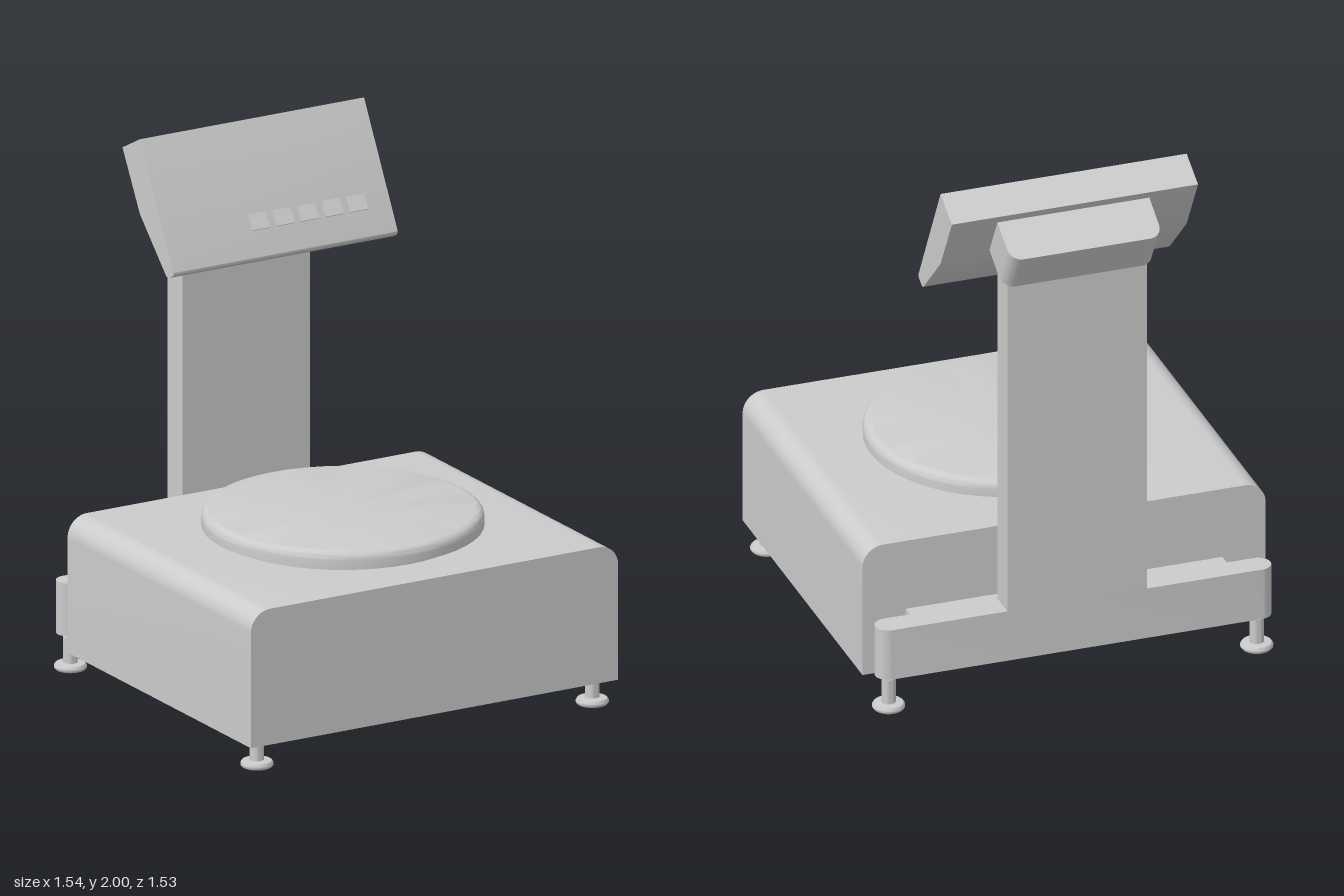
import * as THREE from 'three';
import { toCreasedNormals } from 'three/addons/utils/BufferGeometryUtils.js';

const material = new THREE.MeshStandardMaterial({ color: 0xcccccc });

function add(parent, name, geometry, x = 0, y = 0, z = 0) {
  const mesh = new THREE.Mesh(geometry, material);
  mesh.name = name;
  mesh.position.set(x, y, z);
  parent.add(mesh);
  return mesh;
}

function box(parent, name, x0, x1, y0, y1, z0, z1) {
  return add(parent, name, new THREE.BoxGeometry(x1 - x0, y1 - y0, z1 - z0),
    (x0 + x1) / 2, (y0 + y1) / 2, (z0 + z1) / 2);
}

function extrude(shape, depth) {
  const g = new THREE.ExtrudeGeometry(shape, { depth, bevelEnabled: false, curveSegments: 10 });
  return toCreasedNormals(g, 0.6);
}

function lathe(points, segments) {
  const profile = points.map(([r, y]) => new THREE.Vector2(r, y));
  return toCreasedNormals(new THREE.LatheGeometry(profile, segments), 0.75);
}

// Rectangle standing on y = 0 with its two upper corners rounded
function archedRect(halfWidth, height, r) {
  const s = new THREE.Shape();
  s.moveTo(-halfWidth, 0);
  s.lineTo(halfWidth, 0);
  s.lineTo(halfWidth, height - r);
  s.absarc(halfWidth - r, height - r, r, 0, Math.PI / 2, false);
  s.absarc(-halfWidth + r, height - r, r, Math.PI / 2, Math.PI, false);
  s.closePath();
  return s;
}

export function createModel() {
  const model = new THREE.Group();
  model.name = 'benchScale';

  // Body with rounded upper side edges
  add(model, 'body', extrude(archedRect(0.77, 0.515, 0.08), 1.285), 0, 0.105, -0.515);

  // Round weighing plate on a smaller support disc
  add(model, 'plateSupport', new THREE.CylinderGeometry(0.46, 0.46, 0.05, 48), 0, 0.63, 0.127);
  const rim = [[0, 0.64], [0.495, 0.64], [0.51, 0.643], [0.51, 0.672]];
  for (let i = 1; i <= 6; i++) {
    const a = (i / 6) * Math.PI / 2;
    rim.push([0.477 + 0.033 * Math.cos(a), 0.672 + 0.033 * Math.sin(a)]);
  }
  rim.push([0, 0.705]);
  add(model, 'weighingPlate', lathe(rim, 48), 0, 0, 0.127);

  // Four levelling feet
  const footGeometry = lathe([[0, 0], [0.035, 0.002], [0.054, 0.007], [0.06, 0.014], [0.06, 0.022],
    [0.054, 0.03], [0.026, 0.033], [0.026, 0.13], [0, 0.13]], 24);
  for (const x of [-0.703, 0.703]) {
    for (const z of [0.7, -0.607]) add(model, 'foot', footGeometry, x, 0, z);
  }

  // Rear crossbar with round ends, and the spacer joining it to the body
  const r = 0.048;
  const bar = new THREE.Shape();
  bar.absarc(0.707, 0, r, -Math.PI / 2, Math.PI / 2, false);
  bar.absarc(-0.707, 0, r, Math.PI / 2, Math.PI * 1.5, false);
  bar.closePath();
  add(model, 'crossbar', extrude(bar, 0.2).rotateX(-Math.PI / 2), 0, 0.145, -0.609);
  box(model, 'spacer', -0.605, 0.605, 0.145, 0.345, -0.565, -0.514);

  // Column
  box(model, 'column', -0.267, 0.267, 0.15, 1.76, -0.657, -0.55);

  // Display head: side profile in (-z, y), drawn across the width
  const head = new THREE.Shape();
  head.moveTo(0.51, 2.0);
  head.lineTo(0.277, 1.567);
  head.quadraticCurveTo(0.268, 1.55, 0.284, 1.543);
  head.lineTo(0.305, 1.532);
  head.quadraticCurveTo(0.318, 1.526, 0.329, 1.537);
  head.lineTo(0.51, 1.717);
  head.lineTo(0.632, 1.935);
  head.closePath();
  add(model, 'displayHead', extrude(head, 0.94).rotateY(Math.PI / 2), -0.47, 0, 0);

  // Tilted neck block with rounded rear corners
  const neck = add(model, 'neck', extrude(archedRect(0.29, 0.185, 0.05), 0.176).rotateX(-Math.PI / 2),
    0, 1.759, -0.515);
  neck.rotation.x = -Math.PI / 6;

  // Row of slightly raised keys on the front panel
  for (let i = 0; i < 5; i++) {
    const key = add(model, 'key', new THREE.BoxGeometry(0.074, 0.06, 0.012),
      -0.076 + i * 0.1025, 1.671, -0.336);
    key.rotation.x = -0.6;
  }
  return model;
}
